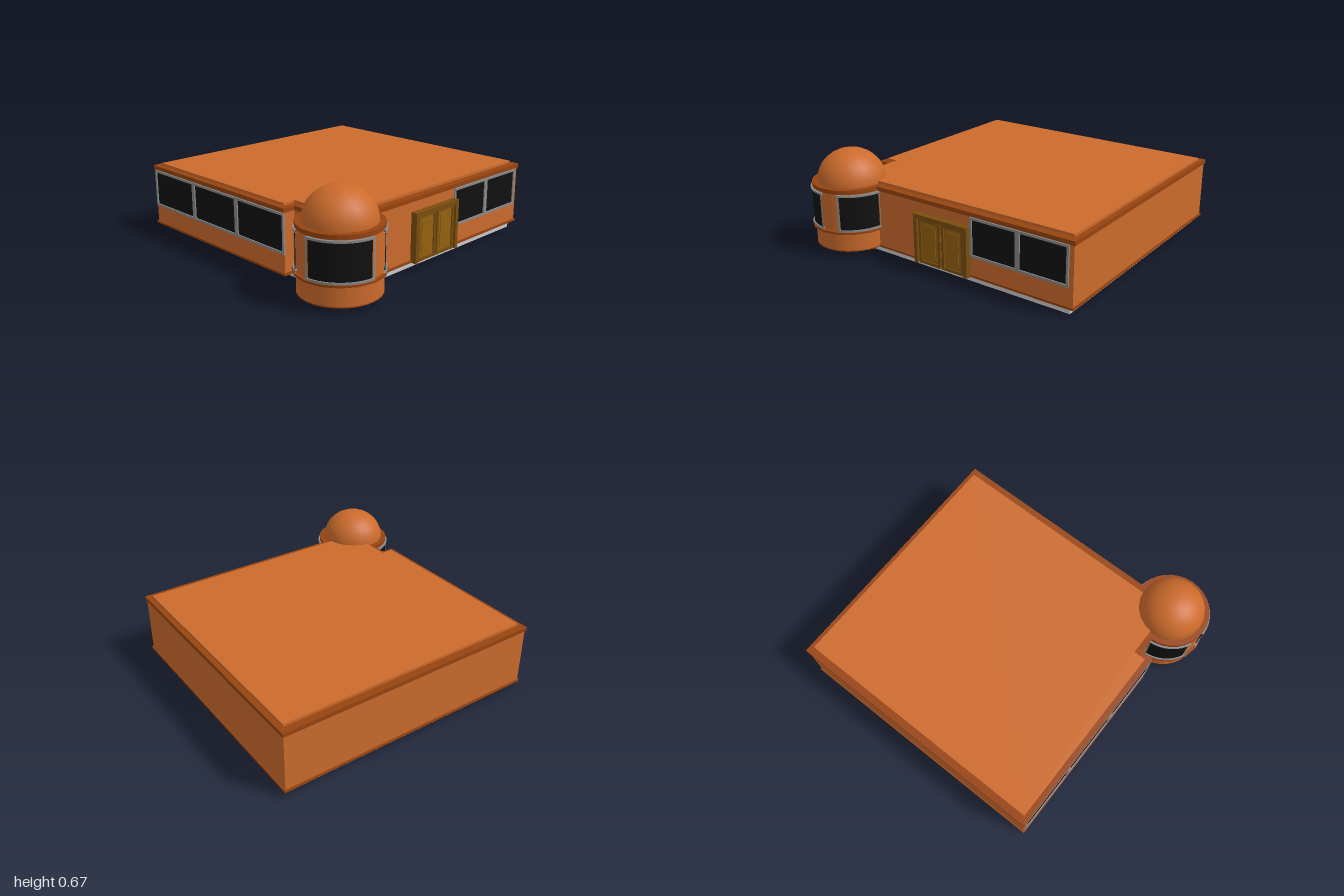
import * as THREE from 'three';
import { toCreasedNormals } from 'three/addons/utils/BufferGeometryUtils.js';

const mat = (name, color, side = THREE.FrontSide) => {
  const m = new THREE.MeshStandardMaterial({ color, side });
  m.name = name;
  return m;
};

export function createModel() {
  const orange = mat('orange wall', 0xcc6b2c);
  const brown = mat('brown trim', 0x984410);
  const glass = mat('dark glass', 0x111111, THREE.DoubleSide);
  const grey = mat('grey frame', 0x8a8a8a, THREE.DoubleSide);
  const stone = mat('pale stone', 0xcacaca);
  const wood = mat('door wood', 0x95620f);
  const darkWood = mat('dark door wood', 0x7a4e0e);

  const model = new THREE.Group();
  model.name = 'building';
  const add = (name, geo, material, parent = model) => {
    const mesh = new THREE.Mesh(geo, material);
    mesh.name = name;
    parent.add(mesh);
    return mesh;
  };
  const group = (name) => {
    const g = new THREE.Group();
    g.name = name;
    model.add(g);
    return g;
  };
  // box given by its lower and upper limits
  const box = (name, x0, x1, y0, y1, z0, z1, material, parent) =>
    add(name, new THREE.BoxGeometry(x1 - x0, y1 - y0, z1 - z0)
      .translate((x0 + x1) / 2, (y0 + y1) / 2, (z0 + z1) / 2), material, parent);
  // floor-plan outline in (x, z), raised from y0 to y1
  const prism = (name, plan, y0, y1, material) => {
    const shape = new THREE.Shape(plan.map(([x, z]) => new THREE.Vector2(x, -z)));
    const geo = new THREE.ExtrudeGeometry(shape, { depth: y1 - y0, bevelEnabled: false });
    return add(name, geo.rotateX(-Math.PI / 2).translate(0, y0, 0), material);
  };
  // notched plan shared by walls, trims and roof
  const plan = (l, r, back, front, notchX, notchZ) =>
    [[l, back], [r, back], [r, notchZ], [notchX, notchZ], [notchX, front], [l, front]];

  // main building
  box('foundation', -0.96, 0.72, 0, 0.046, -0.96, 0.72, stone);
  const outer = plan(-1, 0.752, -1, 0.822, 0.365, 0.74);
  prism('walls', plan(-0.992, 0.744, -0.992, 0.814, 0.358, 0.732), 0.05, 0.45, orange);
  prism('baseTrim', outer, 0.045, 0.06, brown);
  prism('topTrim', outer, 0.436, 0.463, brown);
  prism('roof', plan(-0.952, 0.702, -0.967, 0.785, 0.322, 0.702), 0.46, 0.48, orange);

  // a row of panes built facing +z, from x0 to x1
  const windowRow = (name, x0, x1, count) => {
    const g = group(name);
    const y0 = 0.178, y1 = 0.432, f = 0.015, w = (x1 - x0) / count;
    for (let i = 0; i < count; i++) {
      const a = x0 + i * w, b = a + w;
      box('pane', a + f, b - f, y0 + f, y1 - f, 0, 0.004, glass, g);
      box('leftFrame', a, a + f, y0, y1, 0, 0.012, grey, g);
      box('rightFrame', b - f, b, y0, y1, 0, 0.012, grey, g);
      box('bottomFrame', a + f, b - f, y0, y0 + f, 0, 0.012, grey, g);
      box('topFrame', a + f, b - f, y1 - f, y1, 0, 0.012, grey, g);
    }
    return g;
  };
  windowRow('frontWindows', -0.985, 0.363, 3).position.z = 0.812;
  const side = windowRow('sideWindows', 0.28, 0.962, 2);
  side.rotation.y = Math.PI / 2;
  side.position.x = 0.742;

  // double door on the left wall
  const door = group('door');
  box('nearPost', 0.74, 0.787, 0.045, 0.37, 0.108, 0.135, darkWood, door);
  box('farPost', 0.74, 0.787, 0.045, 0.37, -0.28, -0.253, darkWood, door);
  box('lintel', 0.74, 0.787, 0.343, 0.37, -0.253, 0.108, darkWood, door);
  for (const z of [0.018, -0.163]) {
    box('leaf', 0.74, 0.768, 0.045, 0.343, z - 0.086, z + 0.086, wood, door);
    for (const s of [-1, 1]) {
      const c = z + s * 0.076;
      box('stile', 0.766, 0.776, 0.045, 0.343, c - 0.009, c + 0.009, darkWood, door);
    }
    box('bottomRail', 0.766, 0.775, 0.045, 0.064, z - 0.07, z + 0.07, darkWood, door);
    box('topRail', 0.766, 0.775, 0.326, 0.343, z - 0.07, z + 0.07, darkWood, door);
    box('panel', 0.766, 0.772, 0.085, 0.305, z - 0.045, z + 0.045, wood, door);
  }
  box('doorGap', 0.74, 0.766, 0.045, 0.343, -0.078, -0.067, darkWood, door);

  // corner tower
  const tower = group('tower');
  tower.position.set(0.725, 0, 0.722);
  const drum = (name, r, y0, y1, material) =>
    add(name, new THREE.CylinderGeometry(r, r, y1 - y0, 32).translate(0, (y0 + y1) / 2, 0), material, tower);
  drum('towerWall', 0.25, 0.05, 0.45, orange);
  drum('towerBaseTrim', 0.251, 0.045, 0.052, brown);
  drum('towerFloor', 0.235, 0.043, 0.05, stone);
  drum('towerFloorCentre', 0.1, 0.041, 0.05, grey);
  drum('towerTopTrim', 0.256, 0.436, 0.463, brown);
  add('towerLedge', new THREE.CylinderGeometry(0.272, 0.272, 0.014, 16).translate(0, 0.177, 0), brown, tower);
  const dome = new THREE.SphereGeometry(0.222, 20, 8, 0, Math.PI * 2, 0, Math.PI / 2);
  add('dome', dome.scale(1, 0.92, 1).translate(0, 0.461, 0), orange, tower);

  // curved slab on the tower, angles in degrees from the front towards +x
  const curved = (name, r, y0, y1, a0, a1, material) => {
    const pts = [[0.245, y0], [r, y0], [r, y1], [0.245, y1]].map(([x, y]) => new THREE.Vector2(x, y));
    const rad = Math.PI / 180;
    const steps = Math.max(1, Math.round((a1 - a0) / 8));
    const geo = new THREE.LatheGeometry(pts, steps, a0 * rad, (a1 - a0) * rad);
    add(name, toCreasedNormals(geo, 0.6), material, tower);
  };
  for (const [a0, a1] of [[0, 90], [-88, -24], [114, 178]]) {
    const y0 = 0.184, y1 = 0.432, f = 0.013, da = 3;
    curved('towerPane', 0.258, y0 + f, y1 - f, a0 + da, a1 - da, glass);
    curved('paneBottomFrame', 0.266, y0, y0 + f, a0, a1, grey);
    curved('paneTopFrame', 0.266, y1 - f, y1, a0, a1, grey);
    curved('paneStartFrame', 0.266, y0, y1, a0, a0 + da, grey);
    curved('paneEndFrame', 0.266, y0, y1, a1 - da, a1, grey);
  }

  return model;
}
